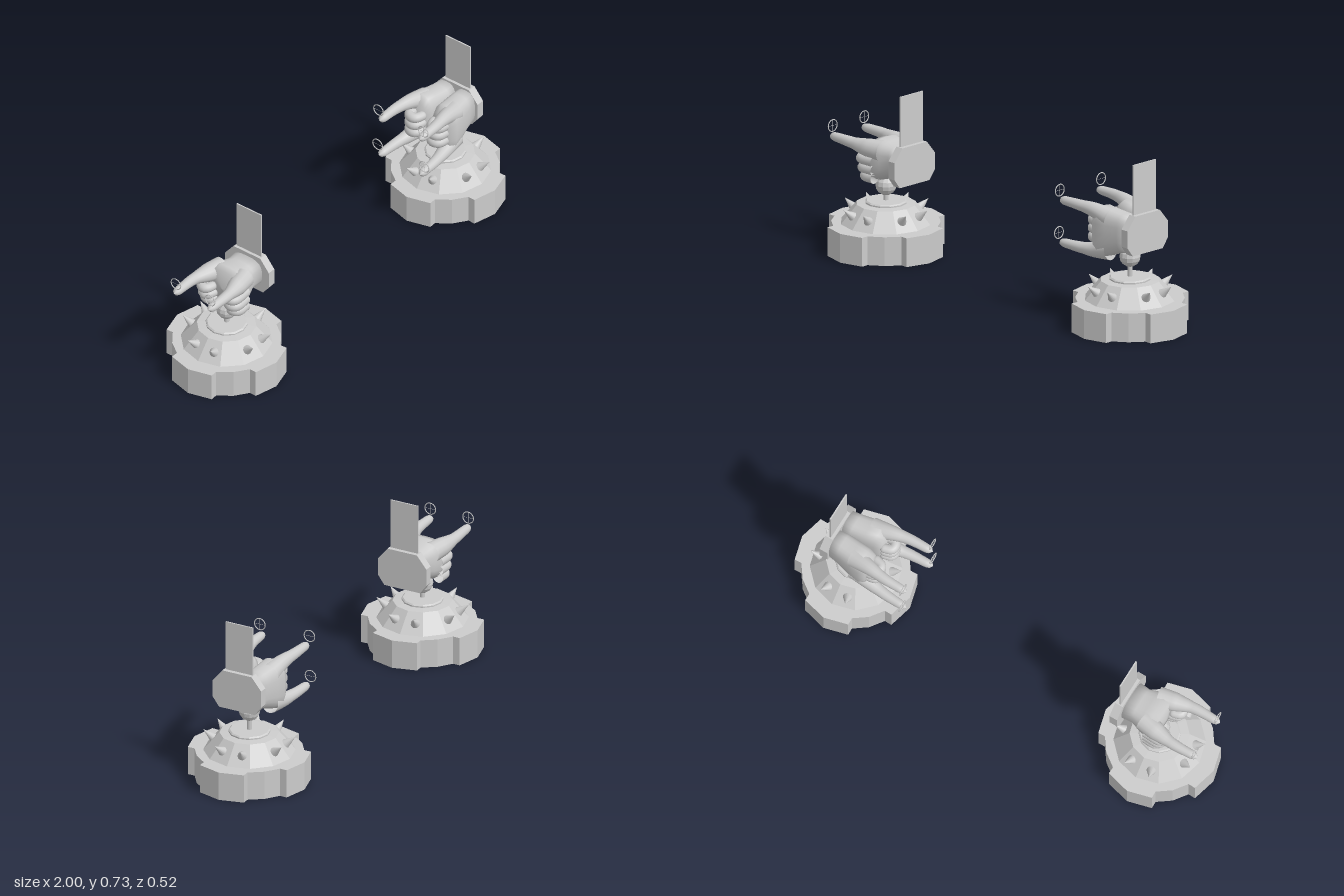
import * as THREE from 'three';

const smooth = new THREE.MeshStandardMaterial({ color: 0xcccccc, side: THREE.DoubleSide });
const flat = new THREE.MeshStandardMaterial({ color: 0xcccccc, side: THREE.DoubleSide, flatShading: true });

function add(parent, name, geometry, material, x = 0, y = 0, z = 0) {
  const mesh = new THREE.Mesh(geometry, material);
  mesh.name = name;
  mesh.position.set(x, y, z);
  parent.add(mesh);
  return mesh;
}

// Surface through a list of closed rings
function skin(rings) {
  const n = rings[0].length, index = [];
  for (let i = 0; i < rings.length - 1; i++) {
    for (let j = 0; j < n; j++) {
      const a = i * n + j, b = i * n + (j + 1) % n;
      index.push(a, b, a + n, b, b + n, a + n);
    }
  }
  const g = new THREE.BufferGeometry().setFromPoints(rings.flat());
  g.setIndex(index);
  g.computeVertexNormals();
  return g;
}

// Tapered, round-ended finger along a curve
function finger(points, radii) {
  const curve = new THREE.CatmullRomCurve3(points.map(p => new THREE.Vector3(...p)));
  const steps = 24, frames = curve.computeFrenetFrames(steps), rings = [];
  for (let i = 0; i <= steps; i++) {
    const t = i / steps, f = t * (radii.length - 1), k = Math.min(Math.floor(f), radii.length - 2);
    const cap = t > 0.88 ? Math.sqrt(Math.max(0, 1 - ((t - 0.88) / 0.12) ** 2)) : 1;
    const r = THREE.MathUtils.lerp(radii[k], radii[k + 1], f - k) * cap;
    const p = curve.getPointAt(t), ring = [];
    for (let j = 0; j < 14; j++) {
      const a = j / 14 * Math.PI * 2;
      ring.push(p.clone().addScaledVector(frames.normals[i], r * Math.cos(a)).addScaledVector(frames.binormals[i], r * Math.sin(a)));
    }
    rings.push(ring);
  }
  return skin(rings);
}

// Palm from rounded sections: [x, centre y, half height, centre z, half width]
function palm(sections) {
  const first = sections[0], last = sections[sections.length - 1];
  const all = [[first[0], first[1], 0, first[3], 0], ...sections, [last[0] - 0.012, last[1], 0, last[3], 0]];
  const soft = v => Math.sign(v) * Math.abs(v) ** 0.7;
  return skin(all.map(([x, yc, hy, zc, hz]) => Array.from({ length: 24 }, (_, j) => {
    const a = j / 24 * Math.PI * 2;
    return new THREE.Vector3(x, yc + hy * soft(Math.sin(a)), zc + hz * soft(Math.cos(a)));
  })));
}

// Ring with a cross, standing on a fingertip
function addSight(parent, x, y, z) {
  const sight = new THREE.Group();
  sight.name = 'sight';
  sight.position.set(x, y, z);
  add(sight, 'sightRing', new THREE.TorusGeometry(0.0255, 0.0022, 6, 24).rotateY(Math.PI / 2), smooth);
  add(sight, 'sightBar', new THREE.BoxGeometry(0.001, 0.05, 0.001), flat);
  add(sight, 'sightBar', new THREE.BoxGeometry(0.001, 0.001, 0.05), flat);
  parent.add(sight);
}

function addBase(parent) {
  // Open-bottomed drum with four raised lobes
  const outline = [];
  for (let q = 0; q < 4; q++) {
    for (const [deg, r] of [[-24, 0.257], [0, 0.262], [24, 0.257], [27, 0.228], [45, 0.228], [63, 0.228]]) {
      const a = (q * 90 + deg) * Math.PI / 180;
      outline.push(new THREE.Vector2(r * Math.cos(a), r * Math.sin(a)));
    }
  }
  const level = y => outline.map(p => new THREE.Vector3(p.x, y, -p.y));
  add(parent, 'drumWall', skin([level(0), level(0.125)]), flat);
  const top = new THREE.Shape(outline);
  top.holes.push(new THREE.Path().absarc(0, 0, 0.185, 0, Math.PI * 2, true));
  add(parent, 'drumTop', new THREE.ShapeGeometry(top, 12).rotateX(-Math.PI / 2), flat, 0, 0.125, 0);

  // Sloped dome and turning plate
  const profile = [[0.195, 0.122], [0.125, 0.205], [0.088, 0.208], [0.088, 0.214], [0.082, 0.219], [0, 0.219]];
  add(parent, 'dome', new THREE.LatheGeometry(profile.map(p => new THREE.Vector2(...p)), 12), flat);

  // Spikes, a pair on each side
  for (let i = 0; i < 4; i++) {
    for (const s of [-18, 18]) {
      const a = (i * 90 + s) * Math.PI / 180;
      const dir = new THREE.Vector3(0.78 * Math.cos(a), 0.63, 0.78 * Math.sin(a));
      const spike = add(parent, 'spike', new THREE.ConeGeometry(0.022, 0.06, 12).translate(0, 0.022, 0), smooth,
        0.155 * Math.cos(a), 0.167, 0.155 * Math.sin(a));
      spike.quaternion.setFromUnitVectors(new THREE.Vector3(0, 1, 0), dir.normalize());
    }
  }
}

// Stem, ball, cuff and upright plate; lift raises everything above the base
function addMount(parent, lift, x) {
  add(parent, 'stem', new THREE.CylinderGeometry(0.011, 0.011, 0.08, 10), smooth, 0, 0.25, 0);
  add(parent, 'ball', new THREE.SphereGeometry(0.045, 12, 8), flat, 0, 0.285 + lift, 0);
  const half = [[0.07, 0.495], [0.115, 0.44], [0.115, 0.365], [0.085, 0.325]];
  const pts = [...half, ...half.map(([z, y]) => [-z, y]).reverse()].map(p => new THREE.Vector2(...p));
  const cuff = new THREE.ExtrudeGeometry(new THREE.Shape(pts), { depth: 0.037, bevelEnabled: false }).rotateY(Math.PI / 2);
  add(parent, 'cuff', cuff, flat, x, lift, 0);
  add(parent, 'plate', new THREE.BoxGeometry(0.006, 0.225, 0.13), flat, x + 0.016, 0.6 + lift, 0);
}

// One flat hand with two pointing fingers and curled ones below
function singleTurret() {
  const g = new THREE.Group();
  g.name = 'twoFingerTurret';
  addBase(g);
  addMount(g, 0, 0.137);
  add(g, 'palm', palm([[0.14, 0.412, 0.066, 0, 0.08], [0.09, 0.412, 0.068, 0, 0.075],
    [0.05, 0.408, 0.082, 0, 0.088], [0.01, 0.405, 0.092, 0, 0.098], [-0.02, 0.405, 0.085, 0, 0.095]]), smooth);
  for (const s of [-1, 1]) {
    add(g, 'pointingFinger', finger([[0.04, 0.45, s * 0.06], [-0.04, 0.455, s * 0.078], [-0.11, 0.462, s * 0.09],
      [-0.24, 0.465, s * 0.09]], [0.045, 0.04, 0.025, 0.021, 0.018]), smooth);
    for (const [y, x] of [[0.405, -0.07], [0.367, -0.06], [0.334, -0.045]]) {
      add(g, 'curledFinger', finger([[0.02, y, s * 0.085], [x + 0.01, y, s * 0.085], [x, y, s * 0.06],
        [x + 0.05, y, s * 0.04]], [0.024, 0.022, 0.019]), smooth);
    }
    addSight(g, -0.227, 0.509, s * 0.09);
  }
  return g;
}

// Two upright hands, palm to palm, with four pointing fingers
function doubleTurret() {
  const g = new THREE.Group();
  g.name = 'fourFingerTurret';
  addBase(g);
  addMount(g, 0.02, 0.07);
  for (const s of [-1, 1]) {
    add(g, 'palm', palm([[0.08, 0.426, 0.08, s * 0.05, 0.05], [0.03, 0.424, 0.084, s * 0.052, 0.056],
      [-0.03, 0.416, 0.1, s * 0.06, 0.06], [-0.08, 0.412, 0.112, s * 0.065, 0.06],
      [-0.11, 0.412, 0.09, s * 0.065, 0.05]]), smooth);
    add(g, 'upperFinger', finger([[-0.04, 0.475, s * 0.075], [-0.12, 0.498, s * 0.09], [-0.2, 0.505, s * 0.102],
      [-0.31, 0.505, s * 0.105]], [0.045, 0.034, 0.025, 0.021, 0.018]), smooth);
    add(g, 'lowerFinger', finger([[-0.04, 0.34, s * 0.075], [-0.12, 0.325, s * 0.09], [-0.2, 0.322, s * 0.102],
      [-0.31, 0.322, s * 0.108]], [0.045, 0.034, 0.025, 0.021, 0.018]), smooth);
    for (const y of [0.375, 0.413, 0.45]) {
      add(g, 'curledFinger', finger([[-0.09, y, s * 0.085], [-0.145, y, s * 0.075], [-0.15, y, s * 0.045],
        [-0.1, y, s * 0.025]], [0.024, 0.022, 0.019]), smooth);
    }
    addSight(g, -0.3, 0.549, s * 0.118);
    addSight(g, -0.3, 0.366, s * 0.123);
  }
  return g;
}

export function createModel() {
  const model = new THREE.Group();
  model.name = 'handTurrets';
  const left = doubleTurret(), right = singleTurret();
  left.position.x = 0.738;
  right.position.x = -0.738;
  model.add(left, right);
  return model;
}
